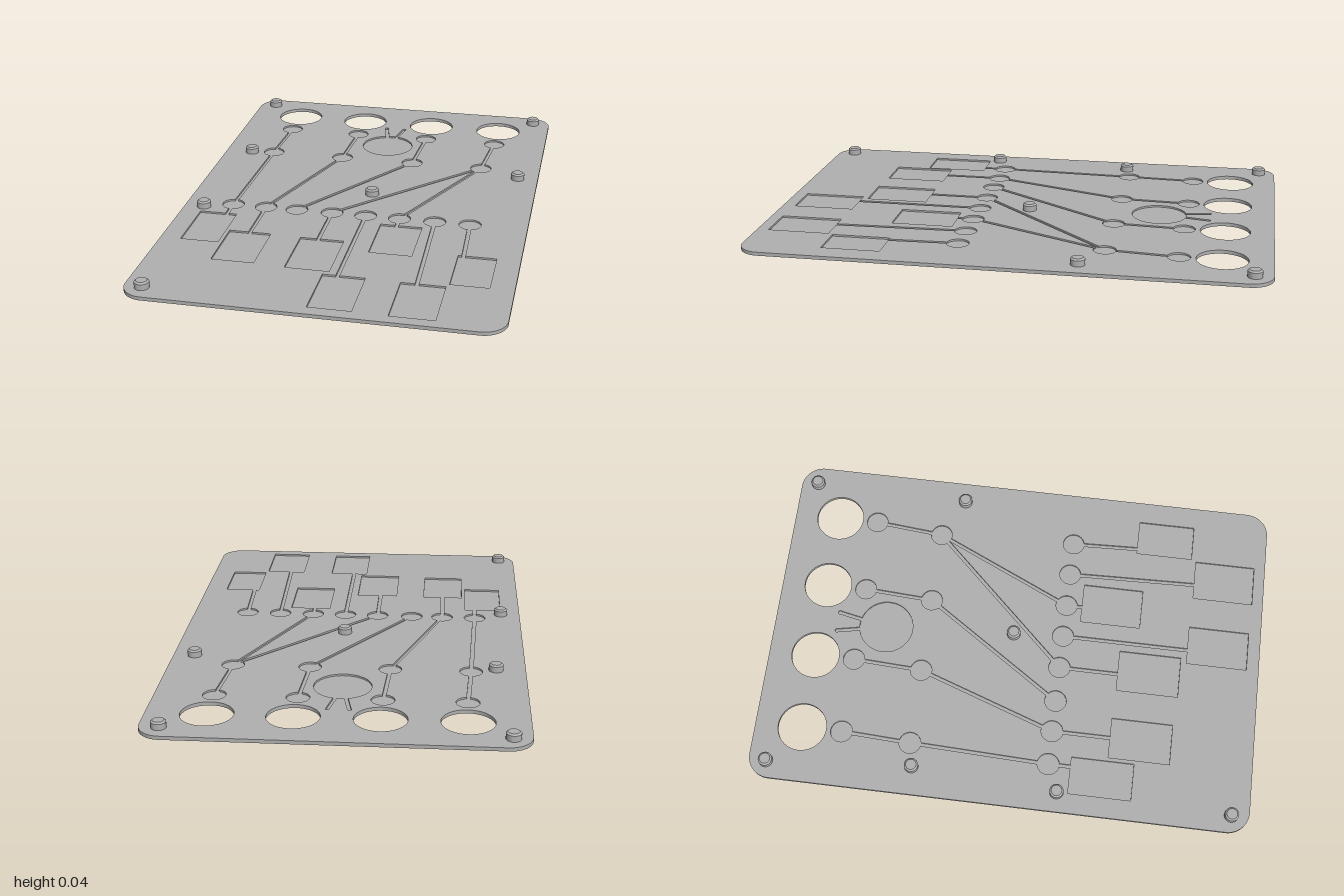
import * as THREE from 'three';
import { toCreasedNormals } from 'three/addons/utils/BufferGeometryUtils.js';

const FLOOR = 0.007, TOP = 0.014;   // height of the groove floors and of the plate
const W = 0.007;                    // half width of a wire channel
const PAD = 0.044;                  // radius of a round pocket

// Pocket nodes: plan coordinates, with y = -z
const pad = (x, z, links = [], r = PAD) => ({ x, y: -z, r, links });
const box = (x, x0, x1, z0, z1) => ({ x, y: -z0, rect: [x0, x1, -z1], links: [] });

// Outline around a tree of pockets joined by straight channels
function traceTree(root) {
  const pts = [];
  const dir = (a, b) => Math.atan2(b.y - a.y, b.x - a.x);
  function walk(n, parent) {
    if (n.rect) {
      const [x0, x1, yb] = n.rect;
      pts.push([n.x - W, n.y], [x0, n.y], [x0, yb], [x1, yb], [x1, n.y], [n.x + W, n.y]);
      return;
    }
    const gap = Math.asin(W / n.r);
    const turn = a => { while (a <= 1e-6) a += Math.PI * 2; return a; };
    const start = parent ? dir(n, parent) : dir(n, n.links[0]);
    const stops = n.links.map(c => ({ c, t: turn(dir(n, c) - start) }));
    if (parent) stops.push({ c: null, t: Math.PI * 2 });
    stops.sort((p, q) => p.t - q.t);
    let from = gap;
    for (const { c, t } of stops) {
      const to = t - gap;
      const steps = Math.max(1, Math.ceil((to - from) / 0.22));
      for (let i = 0; i <= steps; i++) {
        const a = start + from + (to - from) * i / steps;
        pts.push([n.x + n.r * Math.cos(a), n.y + n.r * Math.sin(a)]);
      }
      if (c) walk(c, n);
      from = t + gap;
    }
  }
  walk(root, null);
  return new THREE.Path(pts.map(p => new THREE.Vector2(p[0], p[1])));
}

// Rounded plate outline with the four large holes along the back
function plateShape() {
  const w = 0.69, h = 1, r = 0.09, s = new THREE.Shape();
  s.absarc(w - r, h - r, r, 0, Math.PI / 2);
  s.absarc(-w + r, h - r, r, Math.PI / 2, Math.PI);
  s.absarc(-w + r, -h + r, r, Math.PI, Math.PI * 1.5);
  s.absarc(w - r, -h + r, r, Math.PI * 1.5, Math.PI * 2);
  s.closePath();
  for (const x of [-0.466, -0.156, 0.156, 0.466]) {
    s.holes.push(new THREE.Path().absarc(x, 0.81, 0.0975, 0, Math.PI * 2, true));
  }
  return s;
}

function layer(shape, y, depth) {
  const g = new THREE.ExtrudeGeometry(shape, { depth, bevelEnabled: false, curveSegments: 20 });
  g.rotateX(-Math.PI / 2);
  g.translate(0, y, 0);
  return toCreasedNormals(g, 0.5);
}

export function createModel() {
  const model = new THREE.Group();
  const grey = new THREE.MeshStandardMaterial({ color: 0xb0b0b0 });
  grey.name = 'light grey';
  const add = (name, geo) => {
    const m = new THREE.Mesh(geo, grey);
    m.name = name;
    model.add(m);
    return m;
  };

  // Wiring pockets: rear pads, middle nodes, front pads and component wells
  const zF = 0.19, zM = -0.37, zB = -0.65;
  const trees = [
    pad(-0.48, zM, [pad(-0.466, zB), pad(-0.5, zF, [box(-0.5, -0.61, -0.46, 0.28, 0.53)])]),
    pad(-0.17, zM, [pad(-0.156, zB), pad(-0.363, zF, [box(-0.363, -0.445, -0.28, 0.425, 0.67)])]),
    pad(0.14, zM, [pad(0.156, zB), pad(-0.235, zF)]),
    pad(0.44, zM, [
      pad(0.466, zB),
      pad(-0.09, zF, [box(-0.09, -0.16, 0.01, 0.43, 0.68)]),
      pad(0.184, zF, [box(0.184, 0.12, 0.285, 0.255, 0.5)]),
    ]),
    pad(0.047, zF, [box(0.047, -0.01, 0.15, 0.705, 0.95)]),
    pad(0.325, zF, [box(0.34, 0.28, 0.445, 0.71, 0.955)]),
    pad(0.465, zF, [box(0.475, 0.455, 0.6, 0.46, 0.69)]),
    // Large round well with two leads
    pad(0, -0.54, [pad(-0.04, -0.74, [], 0.008), pad(0.04, -0.74, [], 0.008)], 0.11),
  ];

  add('plateBase', layer(plateShape(), 0, FLOOR));
  const grooved = plateShape();
  for (const t of trees) grooved.holes.push(traceTree(t));
  add('groovedPlate', layer(grooved, FLOOR, TOP - FLOOR));

  // Chamfered locating pegs
  const profile = [[0.028, 0], [0.028, 0.023], [0.021, 0.029], [0, 0.029]];
  const pegGeo = toCreasedNormals(
    new THREE.LatheGeometry(profile.map(p => new THREE.Vector2(p[0], p[1])), 24), 0.5);
  const spots = [[-0.62, -0.93], [0.615, -0.93], [-0.575, -0.35], [0.605, -0.29],
    [0.033, -0.013], [-0.61, 0.235], [-0.62, 0.928]];
  for (const [x, z] of spots) add('peg', pegGeo).position.set(x, TOP, z);

  return model;
}
